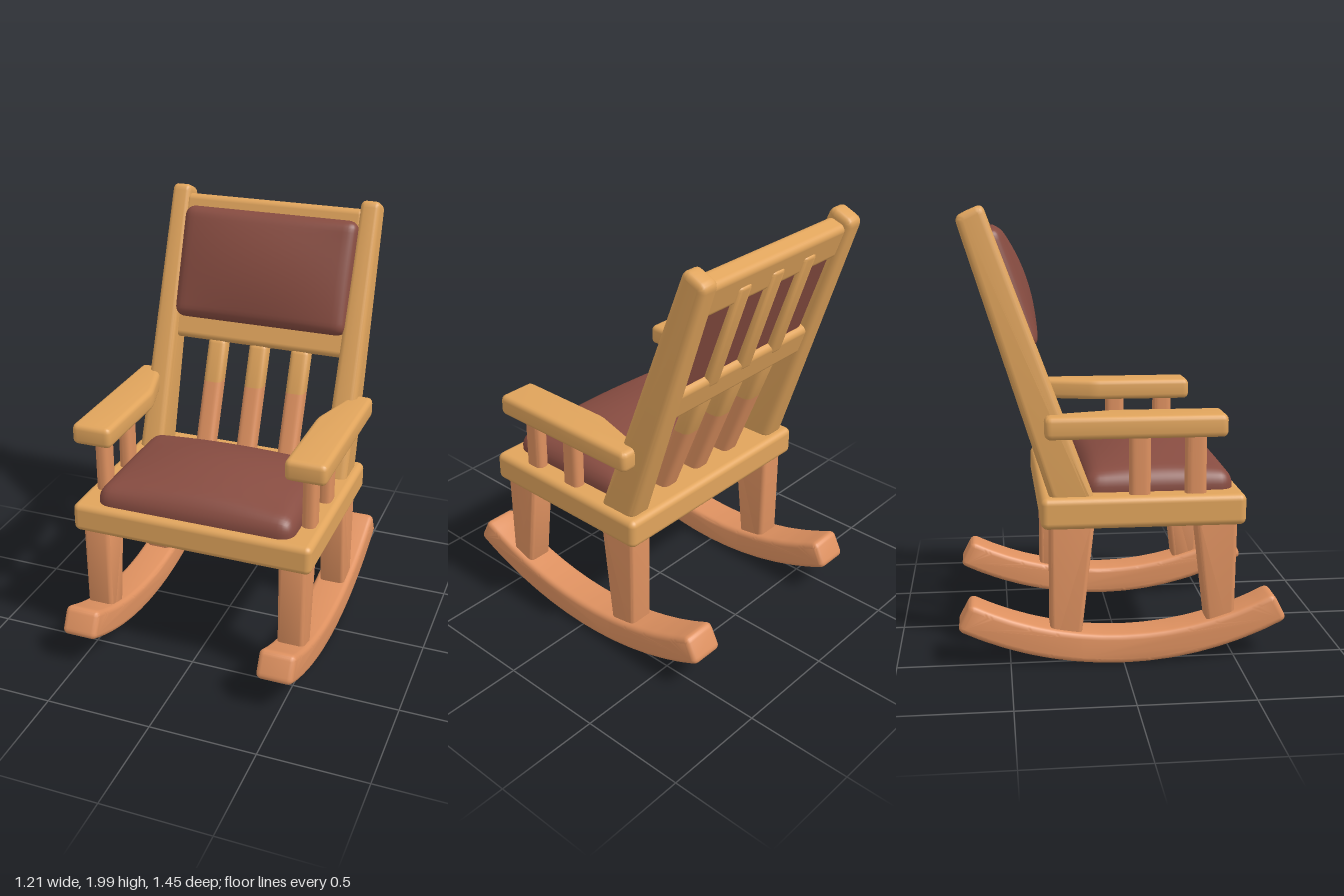
import * as THREE from 'three';
import { mergeVertices, toCreasedNormals } from 'three/addons/utils/BufferGeometryUtils.js';
import { RoundedBoxGeometry } from 'three/addons/geometries/RoundedBoxGeometry.js';

const material = (name, color) => Object.assign(new THREE.MeshStandardMaterial({ color }), { name });

// Polygon with softened corners
function roundedShape(points, r) {
  const pts = points.map(([x, y]) => new THREE.Vector2(x, y));
  const shape = new THREE.Shape();
  pts.forEach((p, i) => {
    const toward = (q) => p.clone().add(q.clone().sub(p).setLength(r));
    const a = toward(pts[(i + pts.length - 1) % pts.length]);
    const b = toward(pts[(i + 1) % pts.length]);
    if (i === 0) shape.moveTo(a.x, a.y);
    else shape.lineTo(a.x, a.y);
    shape.quadraticCurveTo(p.x, p.y, b.x, b.y);
  });
  shape.closePath();
  return shape;
}

// Extrusion from z = 0 to z = depth whose bevel stays inside the outline
function slab(shape, depth, bevel) {
  return new THREE.ExtrudeGeometry(shape, {
    depth: depth - 2 * bevel, steps: 1, curveSegments: 5, bevelEnabled: bevel > 0,
    bevelThickness: bevel, bevelSize: bevel, bevelOffset: -bevel, bevelSegments: 4,
  }).translate(0, 0, bevel);
}

// Outline given as [z, y], extruded sideways and centred on x
function sideSlab(shape, width, bevel, x) {
  return slab(shape, width, bevel).translate(0, 0, -width / 2).rotateY(-Math.PI / 2).translate(x, 0, 0);
}

// Upright bar, leaning by dz per unit of height from its centre at z0, y = 0.76
function bar(w, d, y0, y1, bevel, x, z0, lean = 0) {
  const shape = roundedShape([[-w / 2, -d / 2], [w / 2, -d / 2], [w / 2, d / 2], [-w / 2, d / 2]], 0.03);
  const geo = slab(shape, y1 - y0, bevel).rotateX(-Math.PI / 2).translate(x, y0, z0);
  const p = geo.attributes.position;
  for (let i = 0; i < p.count; i++) p.setZ(i, p.getZ(i) + lean * (p.getY(i) - 0.76));
  return geo;
}

// Padded block with rounded edges, its +y face puffed up by bulge
function cushionGeometry(w, h, d, r, bulge) {
  const geo = new THREE.BoxGeometry(2, 2, 2, 28, 12, 28);
  geo.deleteAttribute('normal');
  geo.deleteAttribute('uv');
  const p = geo.attributes.position;
  const half = new THREE.Vector3(w / 2, h / 2, d / 2);
  const inner = half.clone().subScalar(r);
  const v = new THREE.Vector3(), c = new THREE.Vector3();
  const ease = (u) => Math.sin(u * Math.PI / 2);
  for (let i = 0; i < p.count; i++) {
    v.set(ease(p.getX(i)), ease(p.getY(i)), ease(p.getZ(i))).multiply(half);
    c.copy(v).clamp(inner.clone().negate(), inner);
    v.sub(c).setLength(r).add(c);
    const a = v.x / half.x, b = v.z / half.z;
    if (v.y > 0) v.y += bulge * (1 - a * a) * (1 - b * b) * (v.y / half.y);
    p.setXYZ(i, v.x, v.y, v.z);
  }
  const merged = mergeVertices(geo, 1e-5);
  merged.computeVertexNormals();
  return merged;
}

export function createModel() {
  const chair = new THREE.Group();
  chair.name = 'rockingChair';
  const wood = material('lightWood', 0xe0a45c);
  const redWood = material('reddishWood', 0xde9160);
  const fabric = material('cushionFabric', 0x874c41);
  const add = (name, geo, mat, crease = true) => {
    const mesh = new THREE.Mesh(crease ? toCreasedNormals(geo, 0.65) : geo, mat);
    mesh.name = name;
    chair.add(mesh);
    return mesh;
  };
  const tilt = -0.328;

  // Seat and its cushion
  add('seat', new RoundedBoxGeometry(1.15, 0.14, 0.9, 4, 0.03).translate(0, 0.692, 0.087), wood, false);
  add('seatCushion', cushionGeometry(0.95, 0.16, 0.67, 0.07, 0.08).translate(0, 0.765, 0.165), fabric, false);

  // Rocker outline: two concentric arcs
  const rockerPoints = [];
  const n = 14, sweep = 0.476, radius = 1.6;
  for (let i = 0; i <= n; i++) {
    const a = -sweep + (2 * sweep * i) / n;
    rockerPoints.push([radius * Math.sin(a), radius - radius * Math.cos(a)]);
  }
  for (let i = n; i >= 0; i--) {
    const a = -sweep + (2 * sweep * i) / n, r = radius - 0.135;
    rockerPoints.push([r * Math.sin(a), radius - r * Math.cos(a)]);
  }

  for (const [side, s] of [['left', 1], ['right', -1]]) {
    add(side + 'Rocker', sideSlab(roundedShape(rockerPoints, 0.03), 0.172, 0.025, s * 0.478), redWood);

    // Legs taper on their inner edge only
    const front = [[0.505, 0.66], [0.315, 0.66], [0.38, 0.1], [0.495, 0.1]];
    const back = [[-0.125, 0.66], [-0.325, 0.66], [-0.325, 0.07], [-0.193, 0.07]];
    add(side + 'FrontLeg', sideSlab(roundedShape(front, 0.02), 0.125, 0.02, s * 0.478), redWood);
    add(side + 'BackLeg', sideSlab(roundedShape(back, 0.02), 0.125, 0.02, s * 0.478), redWood);

    // Leaning back post, narrowing upward
    const outline = [[-0.122, 0.735], [-0.317, 0.735], [-0.705, 1.955], [-0.59, 2.005]];
    const post = sideSlab(roundedShape(outline, 0.035), 0.125, 0.03, s * 0.478);
    const p = post.attributes.position;
    for (let i = 0; i < p.count; i++) {
      const k = 1 - 0.25 * (p.getY(i) - 0.74) / 1.26;
      p.setX(i, s * 0.478 + (p.getX(i) - s * 0.478) * k);
    }
    add(side + 'BackPost', post, wood);

    // Armrest, cut away beside the post
    const arm = [[0.605, 0.445], [0.413, 0.445], [0.413, -0.04], [0.5, -0.345], [0.605, -0.345]];
    const armShape = roundedShape(arm.map(([x, z]) => [s * x, -z]), 0.03);
    add(side + 'Armrest', slab(armShape, 0.1, 0.025).rotateX(-Math.PI / 2).translate(0, 1.022, 0), wood);
    [0.318, 0.072].forEach((z, i) =>
      add(side + 'ArmSpindle' + (i + 1), bar(0.064, 0.095, 0.74, 1.05, 0, s * 0.505, z), redWood));
  }

  // Back rails
  for (const [name, y, z, h] of [['topRail', 1.865, -0.605, 0.17], ['lowerRail', 1.345, -0.443, 0.16]]) {
    const rail = add(name, new RoundedBoxGeometry(0.91, h, 0.1, 4, 0.03), wood, false);
    rail.position.set(0, y, z);
    rail.rotation.x = tilt;
  }

  // Slats: two-tone below the lower rail, plain behind the cushion
  [-0.215, 0, 0.215].forEach((x, i) => {
    add('slatFoot' + (i + 1), bar(0.095, 0.09, 0.73, 1.09, 0, x, -0.225, -0.387), redWood);
    add('slatMiddle' + (i + 1), bar(0.095, 0.09, 1.07, 1.29, 0.02, x, -0.225, -0.387), wood);
    add('slatTop' + (i + 1), bar(0.095, 0.085, 1.35, 1.86, 0.02, x, -0.266, -0.325), wood);
  });

  // Back cushion, bulging forward
  const backCushion = add('backCushion', cushionGeometry(0.88, 0.13, 0.545, 0.05, 0.045), fabric, false);
  backCushion.position.set(0, 1.64, -0.498);
  backCushion.rotation.x = Math.PI / 2 + tilt;

  return chair;
}
